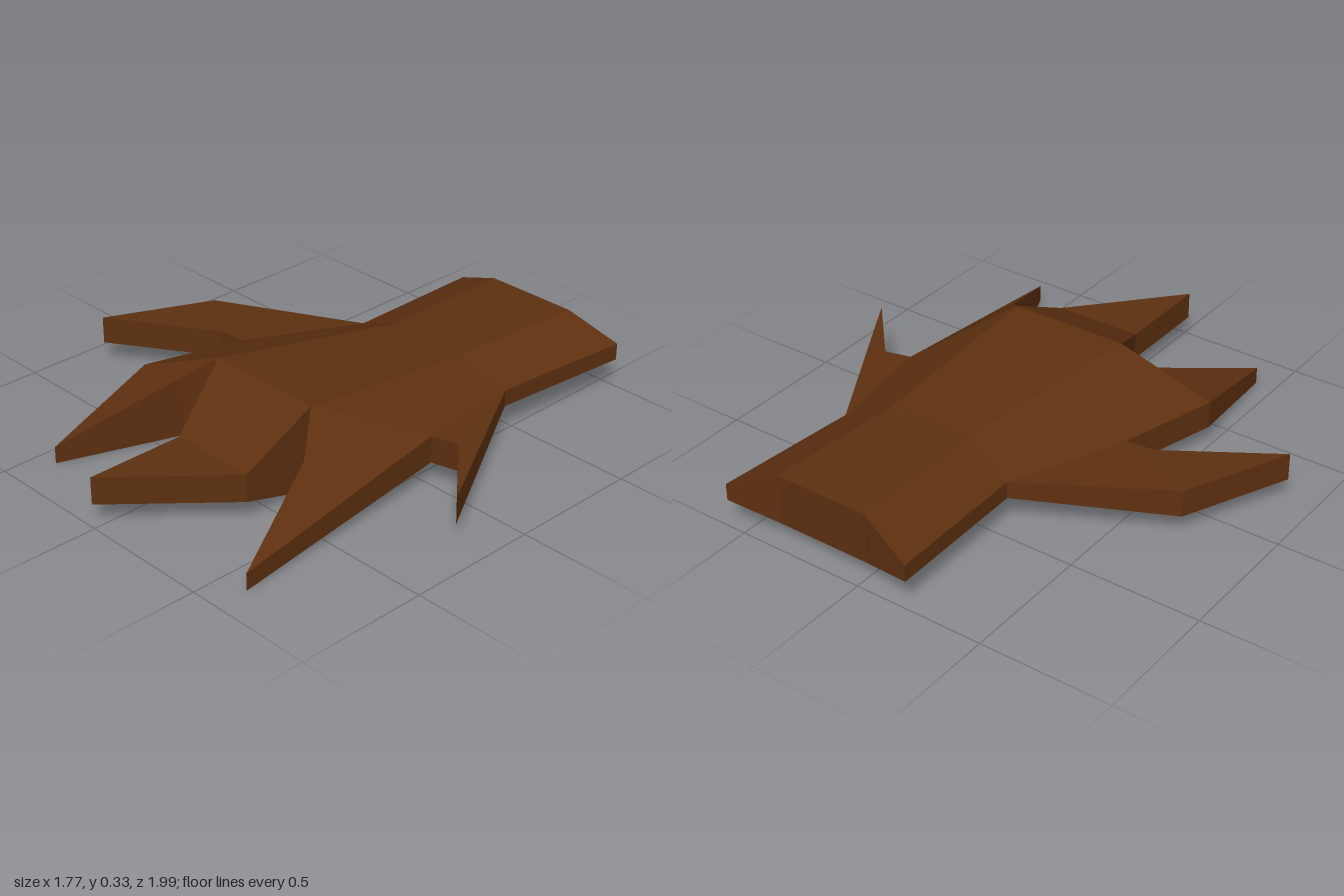
import * as THREE from 'three';

// Plan points of the foot: x, z, top height, underside height
const P = {
  // heel rim
  A: [-0.205, -1, 0.175, 0.11], B: [0, -0.95, 0.26, 0.065],
  C: [0.37, -0.95, 0.26, 0.065], D: [0.565, -1, 0.175, 0.11],
  // ankle line
  E: [-0.195, -0.44, 0.175, 0.11], G: [0, -0.4, 0.26, 0.065],
  H: [0.33, -0.4, 0.26, 0.065], F: [0.515, -0.44, 0.175, 0.11],
  // knuckles
  I: [-0.145, 0.32, 0.33, 0], J: [0.32, 0.32, 0.33, 0],
  // right side claw
  P: [-0.71, -0.15, 0.185, 0.08], Q: [-0.89, 0.25, 0.185, 0.08],
  R: [-0.5, 0, 0.185, 0.08], S: [-0.39, -0.01, 0.185, 0.08],
  // right front claw
  T: [-0.495, 0.37, 0.185, 0.08], U: [-0.42, 0.84, 0.065, 0], V: [-0.26, 0.39, 0.235, 0],
  // middle claw
  K: [-0.02, 0.61, 0.185, 0.08], L: [-0.02, 0.99, 0.185, 0.08], M: [0.32, 0.61, 0.185, 0.08],
  // left front claw
  W: [0.44, 0.465, 0.23, 0], X: [0.61, 0.875, 0.065, 0], Y: [0.565, -0.01, 0.185, 0.08],
  // left side claw
  N: [0.665, -0.035, 0.185, 0.08], Z: [0.885, 0.21, 0.185, 0.08],
};

// Facets of each part, counter-clockwise seen from above
const PARTS = {
  heel: 'AEG AGB BGH BHC CHD HFD',
  palm: 'GIJ GJH ESG GSI STI HJY HYF',
  rightSideClaw: 'EPS PRS PQR',
  rightFrontClaw: 'TVI TUV',
  middleClaw: 'IKJ KMJ KLM',
  leftFrontClaw: 'JWY WXY',
  leftSideClaw: 'FYN FNZ',
};

const top = (k) => [P[k][0], P[k][2], P[k][1]];
const bottom = (k) => [P[k][0], P[k][3], P[k][1]];
const edges = ([a, b, c]) => [a + b, b + c, c + a];

export function createModel() {
  const group = new THREE.Group();
  group.name = 'clawedFoot';
  const brown = new THREE.MeshStandardMaterial({ color: 0x5e3010, flatShading: true });
  brown.name = 'brown hide';

  const allEdges = new Set(Object.values(PARTS).flatMap((s) => s.split(' ').flatMap(edges)));

  for (const [name, facets] of Object.entries(PARTS)) {
    const pos = [];
    const tri = (...pts) => pts.forEach((p) => pos.push(...p));
    for (const f of facets.split(' ')) {
      const [a, b, c] = f;
      tri(top(a), top(b), top(c));
      tri(bottom(a), bottom(c), bottom(b));
      // Upright walls only along the outer rim
      for (const [p, q] of edges(f)) {
        if (allEdges.has(q + p)) continue;
        tri(top(p), bottom(p), bottom(q));
        tri(top(p), bottom(q), top(q));
      }
    }
    const geo = new THREE.BufferGeometry();
    geo.setAttribute('position', new THREE.Float32BufferAttribute(pos, 3));
    geo.computeVertexNormals();
    const mesh = new THREE.Mesh(geo, brown);
    mesh.name = name;
    group.add(mesh);
  }
  return group;
}
